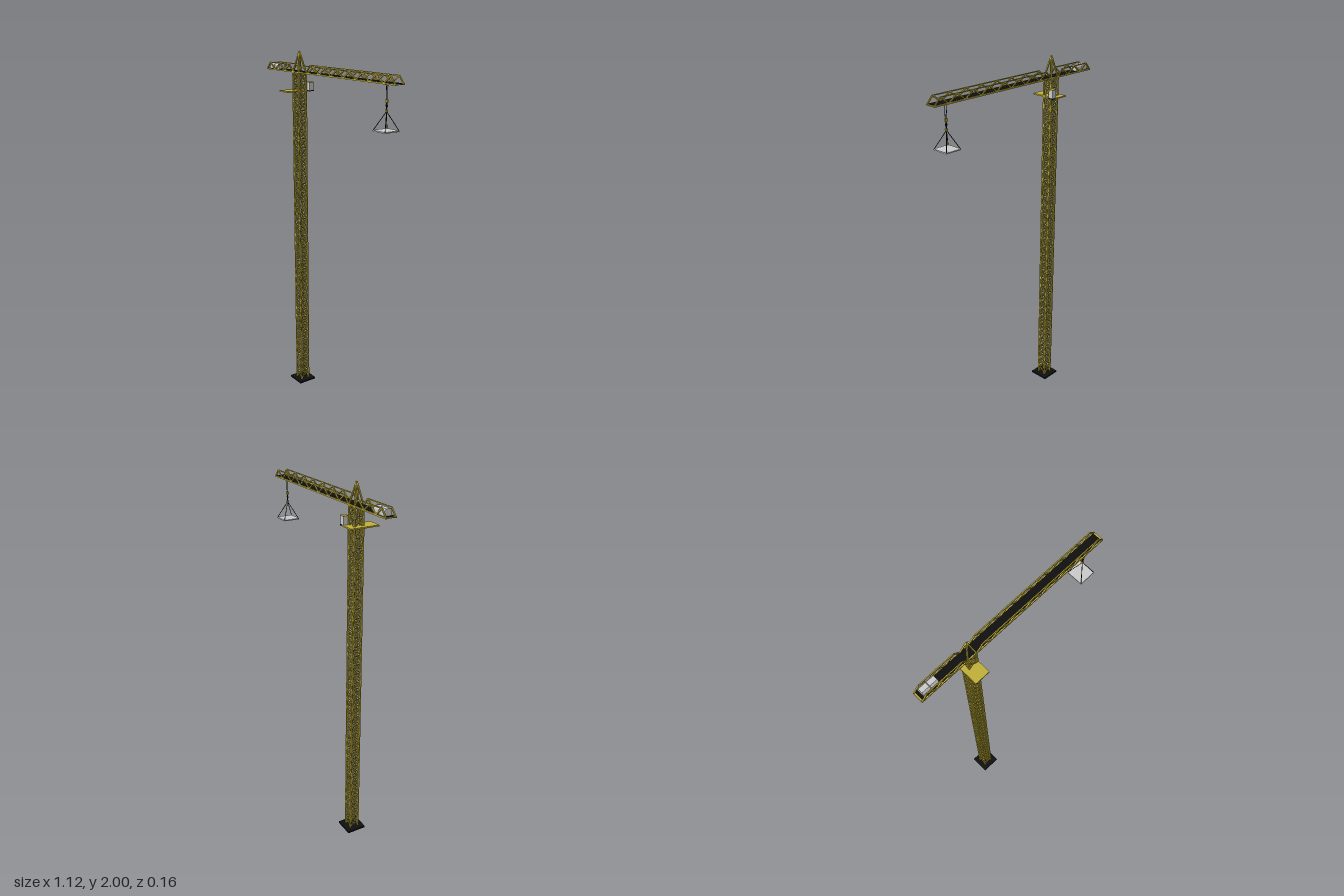
import * as THREE from 'three';
import { mergeGeometries } from 'three/addons/utils/BufferGeometryUtils.js';

const YELLOW = new THREE.MeshStandardMaterial({ color: 0xc2b03a });
const BLACK = new THREE.MeshStandardMaterial({ color: 0x101010 });
const GREY = new THREE.MeshStandardMaterial({ color: 0xcccccc });

const MX = -0.266, MZ = -0.02;      // mast axis
const HALF = 0.025;                 // mast axis to leg centre
const DECK = 1.887, TOP = 1.924;    // jib bottom and top chord heights

const V = (x, y, z) => new THREE.Vector3(x, y, z);

// Square bar between two points
function bar(a, b, t) {
  const d = b.clone().sub(a);
  const g = new THREE.BoxGeometry(t, d.length(), t);
  g.applyQuaternion(new THREE.Quaternion().setFromUnitVectors(V(0, 1, 0), d.normalize()));
  const m = a.clone().add(b).multiplyScalar(0.5);
  return g.translate(m.x, m.y, m.z);
}

// Box given by its extents
function block(x0, x1, y0, y1, z0, z1) {
  return new THREE.BoxGeometry(x1 - x0, y1 - y0, z1 - z0)
    .translate((x0 + x1) / 2, (y0 + y1) / 2, (z0 + z1) / 2);
}

export function createModel() {
  const crane = new THREE.Group();
  crane.name = 'towerCrane';
  const add = (name, parts, material, parent = crane) => {
    const mesh = new THREE.Mesh(mergeGeometries(parts), material);
    mesh.name = name;
    parent.add(mesh);
  };

  // Base plate
  add('basePlate', [block(MX - 0.055, MX + 0.055, 0, 0.01, MZ - 0.055, MZ + 0.055)], BLACK);

  // Mast: four legs with crossed braces on each side
  const mast = new THREE.Group();
  mast.name = 'mast';
  crane.add(mast);
  const corners = [[1, 1], [1, -1], [-1, -1], [-1, 1]]
    .map(([x, z]) => [MX + x * HALF, MZ + z * HALF]);
  add('mastLegs', corners.map(([x, z]) => bar(V(x, 0.01, z), V(x, DECK, z), 0.008)), YELLOW, mast);
  const braces = [];
  const bays = 36, bayHeight = (DECK - 0.012) / bays;
  for (let i = 0; i < bays; i++) {
    const y0 = 0.012 + i * bayHeight, y1 = y0 + bayHeight;
    corners.forEach(([x, z], k) => {
      const [x2, z2] = corners[(k + 1) % 4];
      braces.push(bar(V(x, y0, z), V(x2, y1, z2), 0.005));
      braces.push(bar(V(x, y1, z), V(x2, y0, z2), 0.005));
      braces.push(bar(V(x, y1, z), V(x2, y1, z2), 0.004));
    });
  }
  add('mastBraces', braces, YELLOW, mast);

  // Ladder inside the mast
  const ladder = [];
  for (const s of [-1, 1]) {
    ladder.push(bar(V(MX - 0.012, 0.01, MZ + s * 0.011), V(MX - 0.012, DECK, MZ + s * 0.011), 0.003));
  }
  for (let y = 0.03; y < DECK; y += 0.026) {
    ladder.push(bar(V(MX - 0.012, y, MZ - 0.011), V(MX - 0.012, y, MZ + 0.011), 0.003));
  }
  add('ladder', ladder, GREY, mast);

  // Platform and operator cab
  add('platform', [block(-0.32, -0.237, 1.782, 1.789, -0.08, 0.078)], YELLOW);
  const cab = new THREE.Group();
  cab.name = 'cab';
  crane.add(cab);
  add('cabBody', [block(-0.243, -0.215, 1.789, 1.83, -0.077, -0.051)], GREY, cab);
  add('cabRoof', [block(-0.244, -0.214, 1.83, 1.834, -0.079, -0.05)], YELLOW, cab);
  add('cabFloor', [block(-0.244, -0.214, 1.784, 1.789, -0.079, -0.05)], BLACK, cab);

  // Jib: deck with a zigzag truss along both edges
  const jib = new THREE.Group();
  jib.name = 'jib';
  crane.add(jib);
  add('jibDeck', [block(-0.558, 0.557, DECK - 0.002, DECK + 0.002, -0.049, 0.008)], YELLOW, jib);
  add('walkway', [block(-0.55, 0.547, DECK + 0.002, DECK + 0.004, -0.045, 0.004)], BLACK, jib);
  const truss = [];
  const addTruss = (first, last, count, z) => {
    const step = (last - first) / count;
    truss.push(bar(V(first, TOP, z), V(last, TOP, z), 0.005));
    for (let i = 0; i <= count; i++) {
      const x = first + i * step;
      const reachLeft = i === 0 ? 0.034 : step / 2;
      const reachRight = i === count ? 0.034 : step / 2;
      truss.push(bar(V(x - reachLeft, DECK, z), V(x, TOP, z), 0.006));
      truss.push(bar(V(x, TOP, z), V(x + reachRight, DECK, z), 0.006));
    }
  };
  for (const s of [-1, 1]) {
    const z = MZ + s * 0.026;
    truss.push(bar(V(-0.558, DECK, z), V(0.557, DECK, z), 0.007));
    addTruss(-0.2, 0.52, 7, z);
    addTruss(-0.522, -0.325, 2, z);
  }
  add('jibTrusses', truss, YELLOW, jib);

  // Tower peak: four legs meeting at the apex
  const peak = corners.map(([x, z]) => bar(V(x, DECK, z), V(MX, 1.996, MZ), 0.007));
  peak.push(new THREE.ConeGeometry(0.006, 0.02, 4).translate(MX, 1.99, MZ));
  add('towerPeak', peak, YELLOW);

  // Counterweights: two blocks with sloped shoulders
  const profile = new THREE.Shape([[-0.02, 0], [0.02, 0], [0.02, 0.022], [0.012, 0.034], [-0.012, 0.034], [-0.02, 0.022]]
    .map(([x, y]) => new THREE.Vector2(x, y)));
  add('counterweights', [-0.536, -0.491].map(x =>
    new THREE.ExtrudeGeometry(profile, { depth: 0.042, bevelEnabled: false })
      .rotateY(Math.PI / 2).translate(x, DECK + 0.003, -0.0225)), GREY);

  // Hoist: trolley, cables, hook block and slung pallet
  const hoist = new THREE.Group();
  hoist.name = 'hoist';
  crane.add(hoist);
  const HX = 0.467;
  add('hookBlocks', [
    block(HX - 0.008, HX + 0.008, 1.879, 1.886, MZ - 0.008, MZ + 0.008),
    block(HX - 0.007, HX + 0.007, 1.797, 1.811, MZ - 0.005, MZ + 0.005),
    block(HX - 0.006, HX + 0.006, 1.751, 1.763, MZ - 0.005, MZ + 0.005),
  ], YELLOW, hoist);
  const cables = [-1, 1].map(s => bar(V(HX + s * 0.005, 1.88, MZ), V(HX + s * 0.005, 1.81, MZ), 0.002));
  cables.push(bar(V(HX, 1.797, MZ), V(HX, 1.762, MZ), 0.004));
  cables.push(new THREE.TorusGeometry(0.006, 0.002, 6, 12).translate(HX, 1.782, MZ));
  for (const sx of [-1, 1]) for (const sz of [-1, 1]) {
    cables.push(bar(V(HX, 1.755, MZ), V(HX + sx * 0.044, 1.664, MZ + sz * 0.044), 0.0025));
  }
  add('cables', cables, BLACK, hoist);
  add('pallet', [block(HX - 0.046, HX + 0.046, 1.659, 1.665, MZ - 0.046, MZ + 0.046)], GREY, hoist);

  return crane;
}
